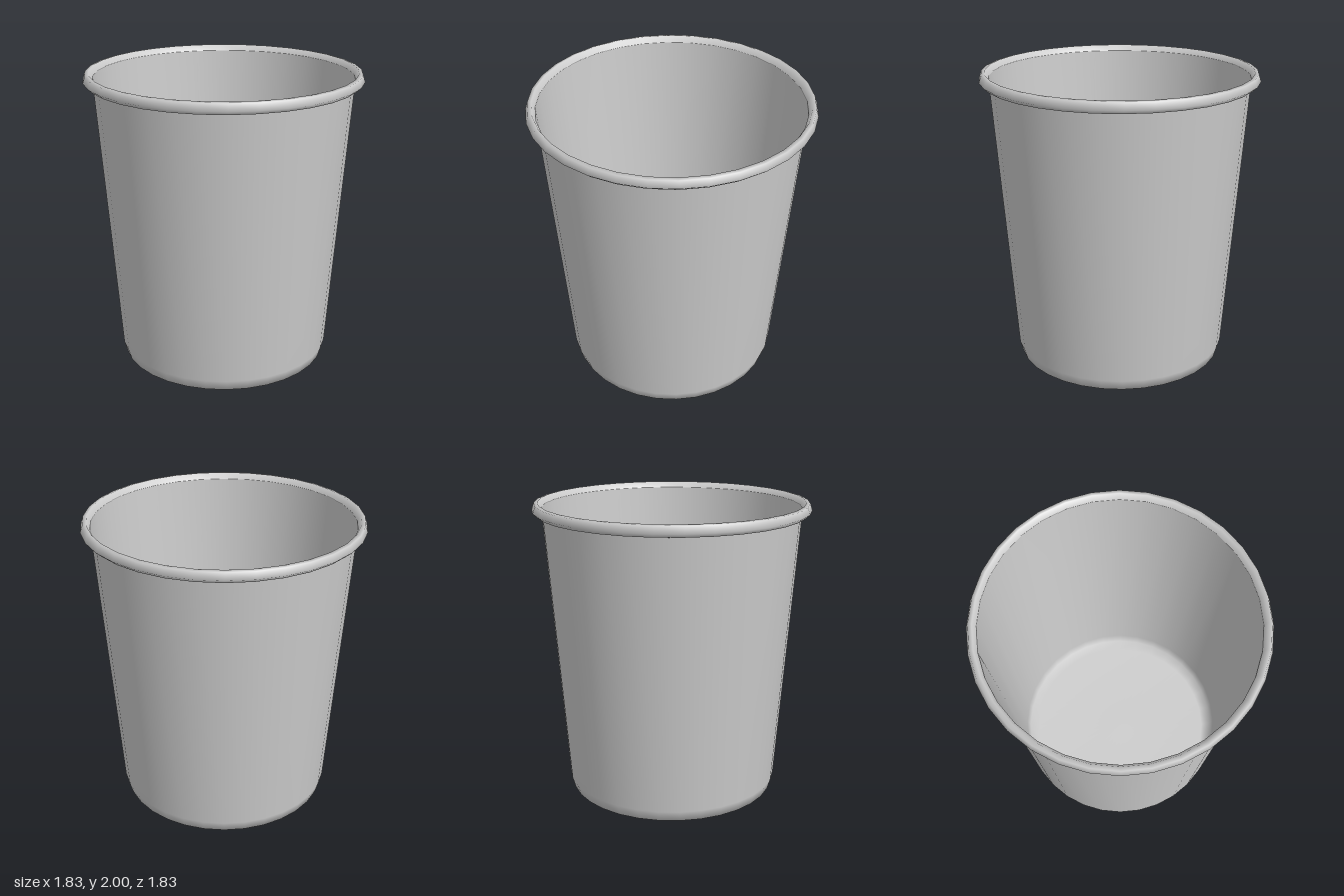
import * as THREE from 'three';

const SEGMENTS = 32;

// Revolve a profile of [radius, height] points into a thin open shell
function lathe(name, profile, material) {
  const points = profile.map(([r, y]) => new THREE.Vector2(r, y));
  const mesh = new THREE.Mesh(new THREE.LatheGeometry(points, SEGMENTS), material);
  mesh.name = name;
  return mesh;
}

export function createModel() {
  const group = new THREE.Group();
  group.name = 'bin';
  const material = new THREE.MeshStandardMaterial({ color: 0xcccccc, side: THREE.DoubleSide });

  // Flat floor, rounded bottom edge and tapered wall
  group.add(lathe('body', [
    [0, 0], [0.635, 0], [0.695, 0.03], [0.715, 0.1], [0.853, 1.96],
  ], material));

  // Lip rolled outward and down, open underneath next to the wall
  group.add(lathe('rim', [
    [0.862, 1.92], [0.887, 1.925], [0.915, 1.95], [0.9, 1.995], [0.875, 2], [0.853, 1.96],
  ], material));

  return group;
}
